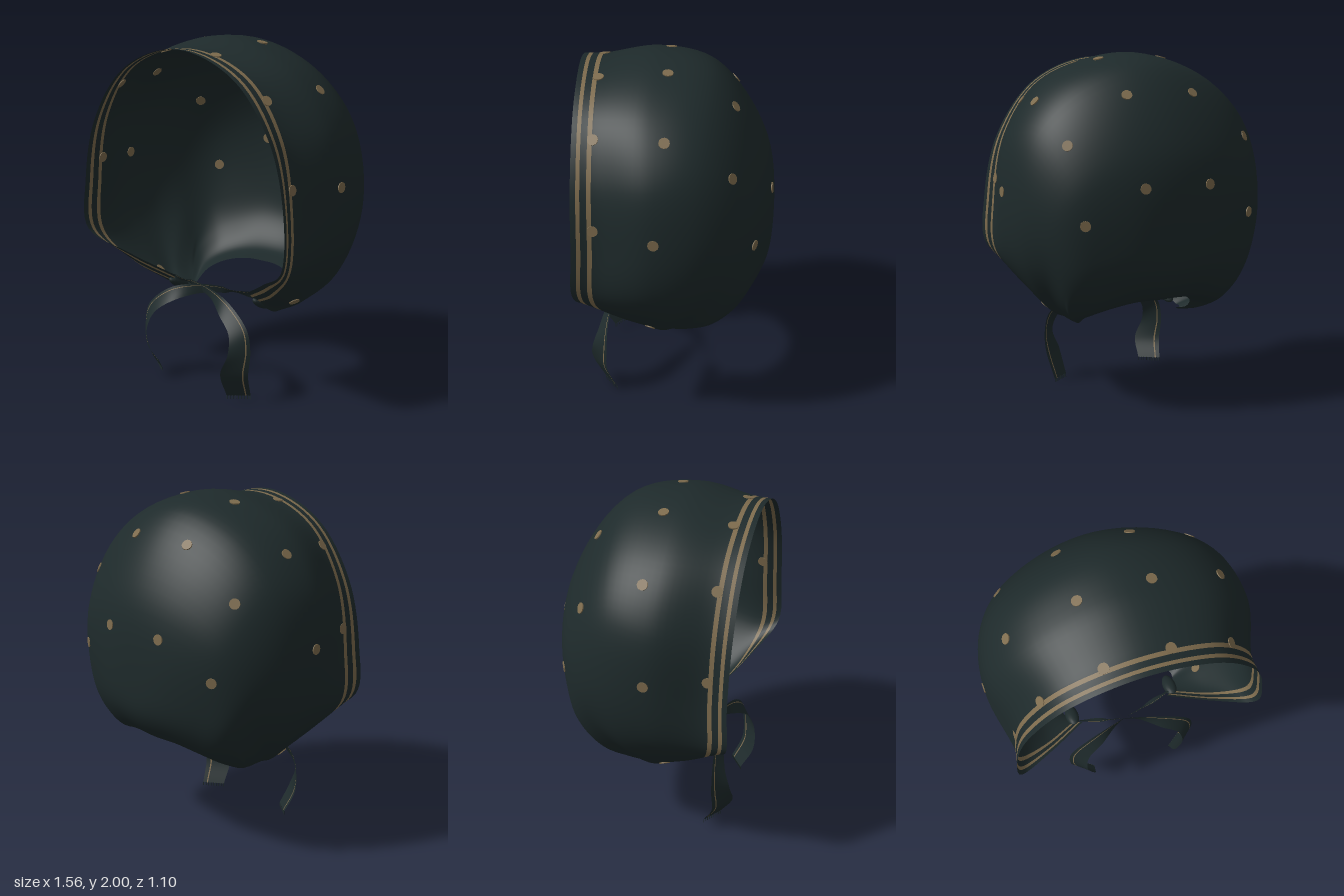
import * as THREE from 'three';

const V = (x, y, z) => new THREE.Vector3(x, y, z);
const fabric = new THREE.MeshStandardMaterial({ color: 0x1e2a2b, side: THREE.DoubleSide });
fabric.name = 'darkFabric';
const tan = new THREE.MeshStandardMaterial({ color: 0x7d6b4d, side: THREE.DoubleSide });
tan.name = 'tanPrint';

// Half arcs running from the knot, past the cheek, to the centre line
const brimArcs = [
  [[.27, .59, .27], [.50, .72, .42], [.71, .86, .54], [.72, 1.15, .54], [.63, 1.52, .54], [.39, 1.83, .54], [0, 1.96, .54]],
  [[.32, .53, .23], [.52, .64, .34], [.69, .83, .42], [.70, 1.15, .42], [.63, 1.53, .42], [.41, 1.83, .42], [0, 1.955, .42]],
];
const crownArcs = [
  [[.35, .48, .17], [.52, .57, .15], [.73, .85, .14], [.775, 1.22, .13], [.715, 1.56, .13], [.46, 1.86, .13], [0, 2.0, .10]],
  [[.36, .46, .13], [.51, .54, .06], [.705, .83, -.05], [.755, 1.2, -.10], [.66, 1.57, -.15], [.40, 1.81, -.19], [0, 1.92, -.22]],
  [[.36, .46, .10], [.49, .54, 0], [.63, .80, -.20], [.665, 1.07, -.29], [.55, 1.29, -.40], [.30, 1.44, -.475], [0, 1.49, -.505]],
];
const napeArcs = [
  [[.35, .455, .07], [.45, .51, -.06], [.56, .69, -.25], [.55, .84, -.37], [.43, .92, -.45], [.22, .96, -.525], [0, .97, -.542]],
  [[.345, .45, .05], [.42, .49, -.06], [.51, .60, -.22], [.47, .68, -.34], [.36, .745, -.42], [.20, .78, -.48], [0, .79, -.505]],
  [[.335, .45, .045], [.39, .475, -.06], [.43, .53, -.18], [.39, .57, -.26], [.30, .61, -.32], [.16, .64, -.36], [0, .645, -.38]],
  [[.31, .46, .05], [.34, .48, -.02], [.33, .53, -.09], [.28, .57, -.14], [.20, .60, -.18], [.10, .615, -.21], [0, .615, -.22]],
];

// Grid surface: rows of points, with a material index for each row
function gridGeometry(rows, rowMaterial) {
  const n = rows[0].length, index = [];
  const geo = new THREE.BufferGeometry().setFromPoints(rows.flat());
  for (let j = 0; j < rows.length - 1; j++) {
    geo.addGroup(index.length, (n - 1) * 6, rowMaterial(j));
    for (let i = 0; i < n - 1; i++) {
      const a = j * n + i, b = a + n;
      index.push(a, b, a + 1, a + 1, b, b + 1);
    }
  }
  geo.setIndex(index);
  geo.computeVertexNormals();
  return geo;
}

function add(parent, geo, mat, name) {
  const mesh = new THREE.Mesh(geo, mat);
  mesh.name = name;
  parent.add(mesh);
  return mesh;
}

// Hood draped over the head, striped behind the brim, with the nape hem turned in
function hoodGeometry() {
  const keys = [...brimArcs, ...crownArcs, ...napeArcs].map(half => {
    const left = half.map(p => V(...p));
    const right = half.slice(0, -1).reverse().map(p => V(-p[0], p[1], p[2]));
    return new THREE.CatmullRomCurve3([...left, ...right]);
  });
  const spans = keys.length - 1;
  const steps = [0, .12, .25, .44, .58, .74, .93];
  for (let k = 0; k <= 56; k++) steps.push(1 + (spans - 1) * k / 56);
  const columns = [];
  for (let i = 0; i <= 96; i++) {
    const across = new THREE.CatmullRomCurve3(keys.map(c => c.getPoint(i / 96)));
    columns.push(steps.map(s => across.getPoint(s / spans)));
  }
  const rows = steps.map((_, j) => columns.map(c => c[j]));
  return gridGeometry(rows, j => (j === 2 || j === 5 ? 1 : 0));
}

// Printed spots: thin discs laid through the cloth so they show on both faces
function addSpots(group, hood) {
  const pos = hood.attributes.position, nor = hood.attributes.normal;
  const disc = new THREE.CylinderGeometry(.03, .03, .009, 12);
  const spots = [
    [.20, 1.97, .05], [.59, 1.74, .05], [.77, 1.24, .10], [.21, 1.80, -.33], [.56, 1.53, -.31],
    [.20, 1.30, -.53], [.49, 1.11, -.39], [.18, 1.94, .425], [.52, 1.72, .425], [.69, 1.27, .425],
    [.50, .56, .14],
  ];
  for (const s of [1, -1]) for (const [x, y, z] of spots) {
    const target = V(x * s, y, z), p = V(), near = V(), n = V();
    let best = Infinity;
    for (let i = 0; i < pos.count; i++) {
      const d = p.fromBufferAttribute(pos, i).distanceToSquared(target);
      if (d < best) { best = d; near.copy(p); n.fromBufferAttribute(nor, i); }
    }
    const spot = add(group, disc, tan, 'spot');
    const lift = target.clone().sub(near).dot(n);
    spot.position.copy(target).addScaledVector(n, -lift);
    spot.quaternion.setFromUnitVectors(V(0, 1, 0), n);
  }
}

// Tie: a ribbon that crosses under the chin and hangs on the far side
function makeTie(side) {
  const tie = new THREE.Group();
  tie.name = side > 0 ? 'leftTie' : 'rightTie';
  const endY = side > 0 ? .02 : .06, dz = side > 0 ? 0 : -.012;
  const centres = [[-.29, .57, .25], [-.12, .582, .30], [.05, .565, .34], [.21, .51, .40],
    [.33, .41, .43], [.355, .30, .45], [.325, .17, .455], [.305, endY, .39]];
  const halves = [[0, .022, .01], [0, .022, .01], [0, .03, .005], [.02, .034, -.02],
    [.04, .018, -.03], [.045, .01, -.045], [.062, 0, -.047], [.055, 0, -.04]];
  const flip = ([x, y, z]) => V(x * side, y, z);
  const path = new THREE.CatmullRomCurve3(centres.map(flip));
  const width = new THREE.CatmullRomCurve3(halves.map(flip));
  const rows = [-1, -.4, .2, .55, .66, 1].map(w => {
    const row = [];
    for (let i = 0; i <= 48; i++) {
      const p = path.getPoint(i / 48).addScaledVector(width.getPoint(i / 48), w);
      p.z += dz;
      row.push(p);
    }
    return row;
  });
  add(tie, gridGeometry(rows, j => (j === 3 ? 1 : 0)), [fabric, tan], 'ribbon');

  // Frayed threads along the cut end
  const thread = new THREE.BoxGeometry(.004, .022, .004);
  for (let k = 0; k < 9; k++) {
    const p = path.getPoint(1).addScaledVector(width.getPoint(1), -.96 + k * .24);
    add(tie, thread, fabric, 'fringe').position.set(p.x, p.y - .009, p.z + dz);
  }
  return tie;
}

export function createModel() {
  const model = new THREE.Group();
  model.name = 'headscarf';
  const hood = hoodGeometry();
  add(model, hood, [fabric, tan], 'hood');
  addSpots(model, hood);

  for (const s of [1, -1]) {
    model.add(makeTie(s));
    // Gathered cloth where the hood meets the tie
    const knot = add(model, new THREE.SphereGeometry(1, 16, 10), fabric, 'knot');
    knot.scale.set(.04, .03, .085);
    knot.position.set(.315 * s, .52, .19);
    knot.rotation.x = -.45;
  }
  return model;
}
